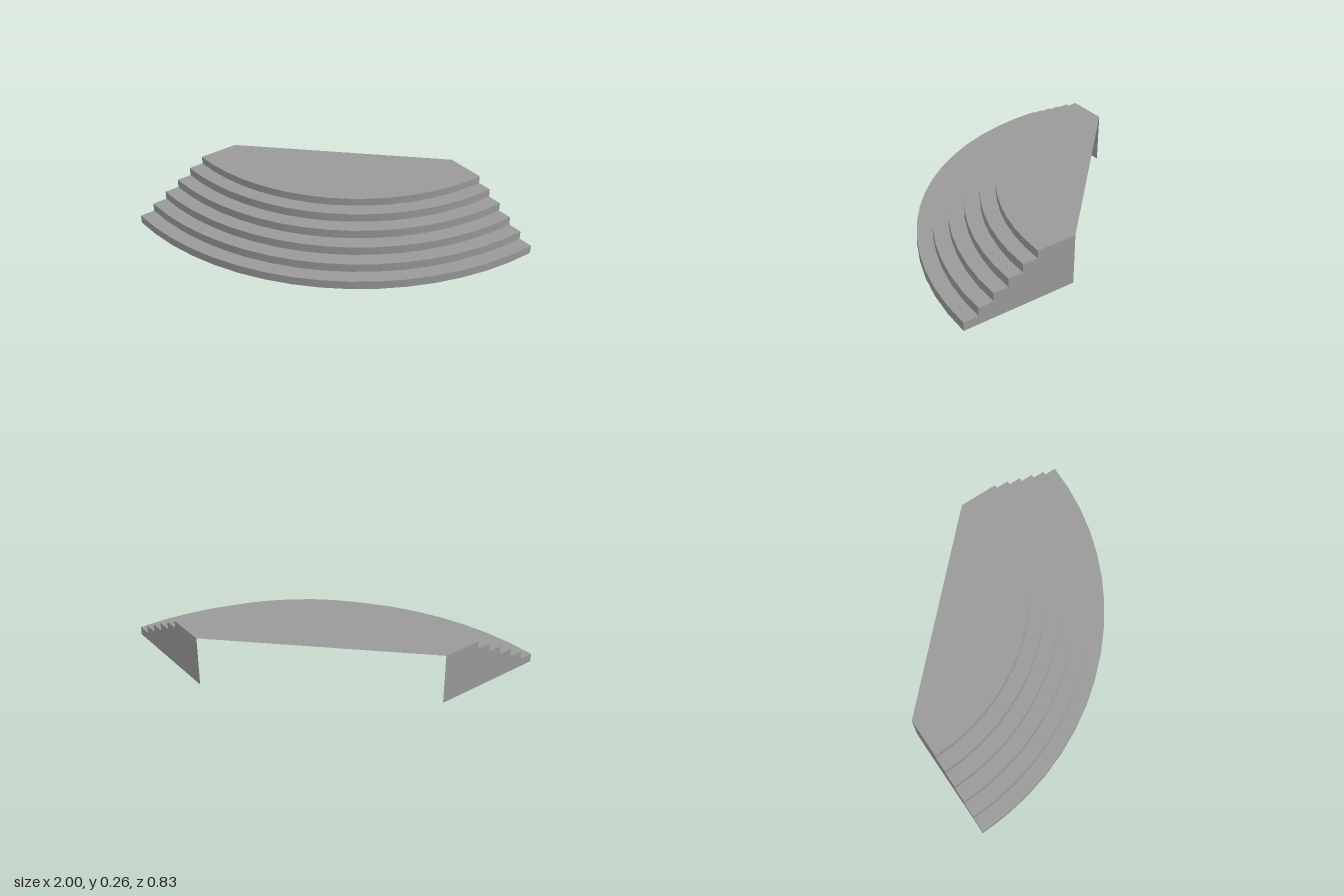
import * as THREE from 'three';

const STEPS = 6, SEGMENTS = 16;
const CENTRE_Z = -0.9976;           // centre of all the arcs
const OUTER = 1.4142, GOING = 0.0773; // outer radius and tread depth
const BACK = 0.581;                 // distance from the centre to the open back
const radius = (i) => OUTER - i * GOING;
const level = (i) => (i === STEPS ? 0.259 : i * 0.0438);

export function createModel() {
  const model = new THREE.Group();
  model.name = 'curvedSteps';
  const material = new THREE.MeshStandardMaterial({ color: 0x999999, side: THREE.DoubleSide });

  const add = (name, geometry, y = 0) => {
    const mesh = new THREE.Mesh(geometry, material);
    mesh.name = name;
    mesh.position.set(0, y, CENTRE_Z);
    model.add(mesh);
  };

  // Quarter-circle risers, with a ring-shaped tread on all but the top one
  for (let i = 0; i < STEPS; i++) {
    const r = radius(i), low = level(i), high = level(i + 1);
    add(`riser${i + 1}`, new THREE.CylinderGeometry(r, r, high - low, SEGMENTS, 1, true,
      -Math.PI / 4, Math.PI / 2), (low + high) / 2);
    if (i < STEPS - 1) {
      add(`tread${i + 1}`, new THREE.RingGeometry(radius(i + 1), r, SEGMENTS, 1,
        -Math.PI * 3 / 4, Math.PI / 2).rotateX(-Math.PI / 2), high);
    }
  }

  // Top platform: arc at the front, straight edge at the back
  const outline = [new THREE.Vector2(BACK, -BACK), new THREE.Vector2(-BACK, -BACK)];
  for (let j = 0; j <= SEGMENTS; j++) {
    const a = -Math.PI / 4 + (j / SEGMENTS) * Math.PI / 2;
    outline.push(new THREE.Vector2(Math.sin(a), -Math.cos(a)).multiplyScalar(radius(STEPS - 1)));
  }
  add('platform', new THREE.ShapeGeometry(new THREE.Shape(outline)).rotateX(-Math.PI / 2), level(STEPS));

  // Stepped side walls along the two radial edges; back and underside stay open
  const profile = new THREE.Shape();
  profile.moveTo(BACK * Math.SQRT2, 0);
  for (let i = 0; i < STEPS; i++) {
    profile.lineTo(radius(i), level(i));
    profile.lineTo(radius(i), level(i + 1));
  }
  profile.lineTo(BACK * Math.SQRT2, level(STEPS));
  profile.closePath();
  add('leftWall', new THREE.ShapeGeometry(profile).rotateY(-Math.PI / 4));
  add('rightWall', new THREE.ShapeGeometry(profile).rotateY(-Math.PI * 3 / 4));

  return model;
}
